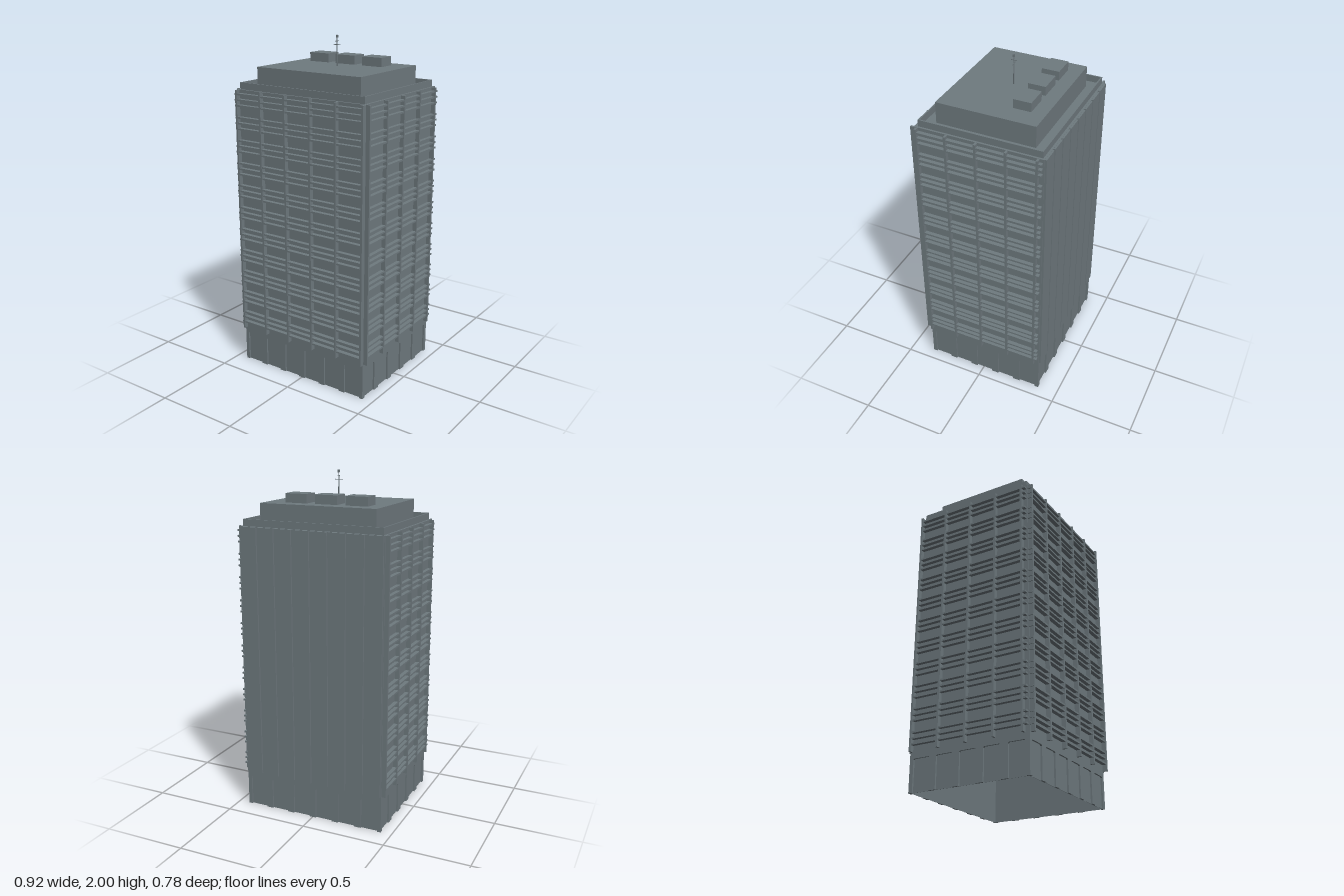
import * as THREE from 'three';

const W = 0.435, D = 0.369;          // half width and half depth of the core
const BASE = 0.22, ROOF = 1.70;      // heights where the tower starts and ends
const FLOORS = 11, STOREY = 0.1349;

const concrete = new THREE.MeshStandardMaterial({ color: 0x6f7a7f, side: THREE.DoubleSide });
concrete.name = 'grey concrete';

function add(parent, name, geometry, x = 0, y = 0, z = 0) {
  const mesh = new THREE.Mesh(geometry, concrete);
  mesh.name = name;
  mesh.position.set(x, y, z);
  parent.add(mesh);
  return mesh;
}

// Box given by its centre in x and z and its bottom and top in y
function block(parent, name, w, d, y0, y1, x = 0, z = 0) {
  return add(parent, name, new THREE.BoxGeometry(w, y1 - y0, d), x, (y0 + y1) / 2, z);
}

// Hollow rectangular ring of walls, standing upright
function ring(parent, name, hw, hd, t, y0, y1) {
  const rect = (P, a, b) => {
    const p = new P();
    p.moveTo(-a, -b); p.lineTo(a, -b); p.lineTo(a, b); p.lineTo(-a, b); p.closePath();
    return p;
  };
  const shape = rect(THREE.Shape, hw, hd);
  shape.holes.push(rect(THREE.Path, hw - t, hd - t));
  const g = new THREE.ExtrudeGeometry(shape, { depth: y1 - y0, bevelEnabled: false });
  g.rotateX(-Math.PI / 2);
  return add(parent, name, g, 0, y0, 0);
}

// Group for one side of the building: local x runs along it, local z points out
function side(parent, name, angle, dist) {
  const g = new THREE.Group();
  g.name = name;
  g.rotation.y = angle;
  g.position.set(Math.sin(angle) * dist, 0, Math.cos(angle) * dist);
  parent.add(g);
  return g;
}

// Ground floor wall with tall openings and set-back panes
function groundWall(parent, half, count, pitch) {
  const hw = 0.0515, top = 0.185, c = 0.006, t = 0.012;
  const s = new THREE.Shape();
  s.moveTo(-half, 0);
  for (let i = 0; i < count; i++) {
    const x = (i - (count - 1) / 2) * pitch;
    s.lineTo(x - hw, 0); s.lineTo(x - hw, top - c); s.lineTo(x - hw + c, top);
    s.lineTo(x + hw - c, top); s.lineTo(x + hw, top - c); s.lineTo(x + hw, 0);
    block(parent, 'groundPane', hw * 2, 0.002, 0, top, x, -t + 0.001);
  }
  s.lineTo(half, 0); s.lineTo(half, BASE); s.lineTo(-half, BASE);
  s.closePath();
  add(parent, 'groundWall', new THREE.ExtrudeGeometry(s, { depth: t, bevelEnabled: false }), 0, 0, -t);
}

// Three thin ledges on every storey, crossed by upright fins
function ledgesAndFins(parent, length, out, firstFin, finPitch, fins) {
  for (let f = 0; f < FLOORS; f++) {
    for (let k = 0; k < 3; k++) {
      const y = 0.262 + f * STOREY + k * 0.033;
      block(parent, 'ledge', length, out - 0.002, y - 0.005, y + 0.005, 0, (out - 0.002) / 2);
    }
  }
  for (let i = 0; i < fins; i++) {
    block(parent, 'fin', 0.012, out, BASE, ROOF, firstFin + i * finPitch, out / 2);
  }
}

export function createModel() {
  const model = new THREE.Group();
  model.name = 'officeTower';
  const tower = new THREE.Group();
  tower.name = 'tower';
  tower.position.z = -0.009;
  model.add(tower);

  // Hollow core, open at the bottom, closed by the roof
  ring(tower, 'coreWalls', W, D, 0.012, BASE, ROOF);
  block(tower, 'roof', W * 2, D * 2, ROOF - 0.01, ROOF + 0.001);

  // The four sides
  const front = side(tower, 'frontSide', 0, D);
  const back = side(tower, 'backSide', Math.PI, D);
  const flanks = [
    side(tower, 'leftSide', Math.PI / 2, W),
    side(tower, 'rightSide', -Math.PI / 2, W),
  ];
  for (const s of [front, back]) groundWall(s, W, 6, 0.1445);
  for (const s of flanks) groundWall(s, D, 5, 0.147);
  ledgesAndFins(front, W * 2, 0.027, -0.424, 0.1715, 6);
  for (const s of flanks) ledgesAndFins(s, 0.724, 0.025, -0.357, 0.1735, 5);

  // Plain back with eight tall panels
  const pitch = (W * 2) / 8;
  for (let i = 0; i < 8; i++) {
    block(back, 'backPanel', pitch - 0.01, 0.011, BASE, ROOF, (i - 3.5) * pitch, 0.0055);
  }

  // Parapet, penthouse and roof units
  ring(tower, 'parapet', 0.423, 0.357, 0.008, ROOF, 1.74);
  block(tower, 'penthouse', 0.704, 0.574, ROOF, 1.825);
  for (const x of [-0.202, -0.018, 0.167]) {
    block(tower, 'roofUnit', 0.134, 0.102, 1.825, 1.877, x, -0.155);
  }

  // Antenna mast with cross arms
  const mast = new THREE.Group();
  mast.name = 'antenna';
  tower.add(mast);
  add(mast, 'pole', new THREE.CylinderGeometry(0.0025, 0.004, 0.17, 8), 0, 1.91, 0);
  block(mast, 'poleTip', 0.01, 0.01, 1.985, 2.0);
  block(mast, 'crossArm', 0.046, 0.003, 1.944, 1.948);
  block(mast, 'crossArm', 0.003, 0.032, 1.964, 1.968);
  return model;
}
